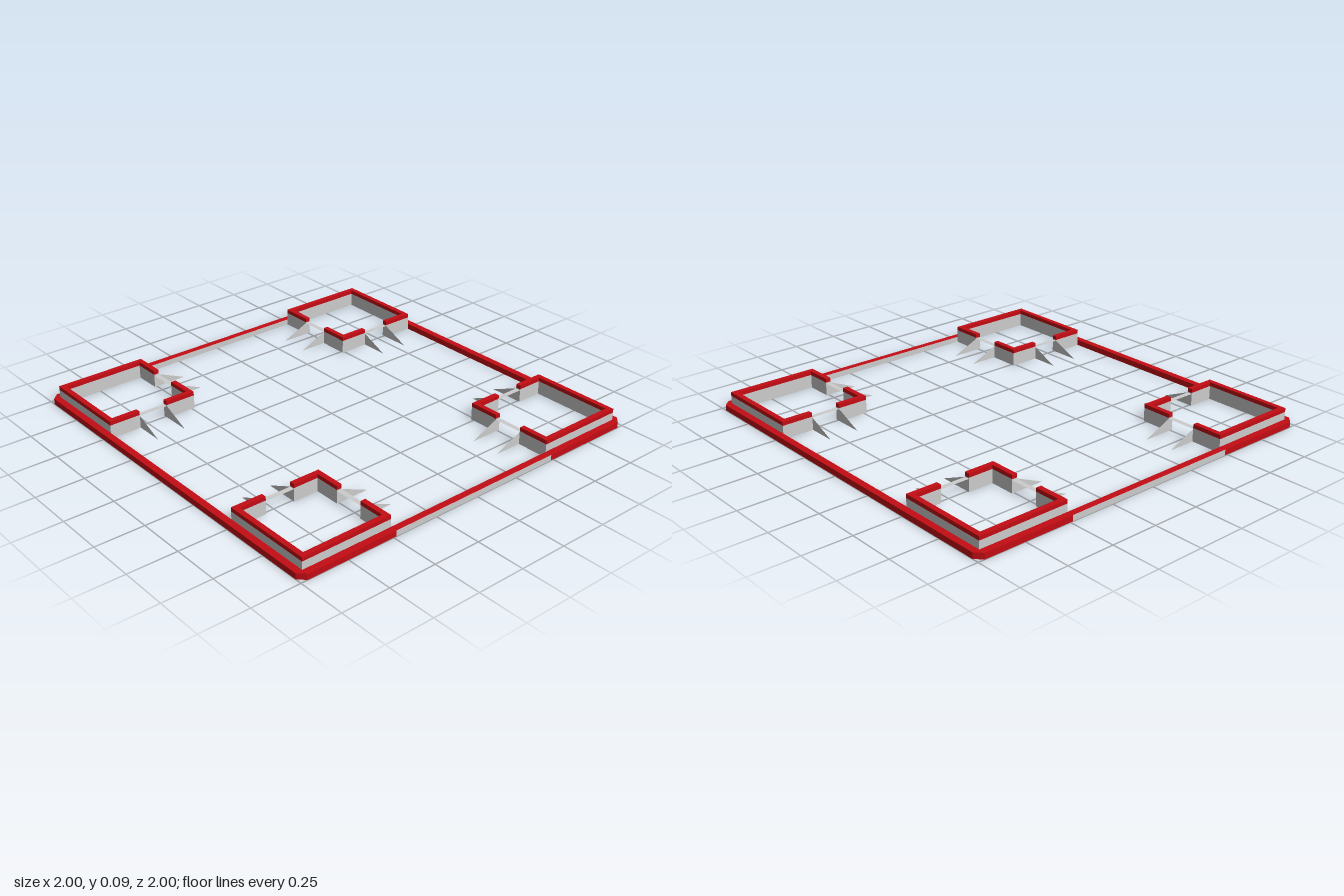
import * as THREE from 'three';

const grey = new THREE.MeshStandardMaterial({ color: 0xcccccc, flatShading: true, side: THREE.DoubleSide });
const red = new THREE.MeshStandardMaterial({ color: 0xc40c14, flatShading: true, side: THREE.DoubleSide });

// Main levels and plan dimensions
const CURB_H = 0.03, WALL_H = 0.07, RAIL_H = 0.09, LANDING_Y = 0.065;
const EDGE = 1, CUT = 0.035, INNER = 0.965;      // curb outside, corner cut, curb inside
const A = 0.485, B = 0.965, T = 0.027;           // pen extents and wall thickness
const D0 = 0.645, D1 = 0.8, RAMP = 0.15;         // doorway and ramp length

// Extrude a plan outline of [x, z] points from height y0 to y1
function slab(name, points, y0, y1, material, sx, sz) {
  const shape = new THREE.Shape(points.map(([x, z]) => new THREE.Vector2(x * sx, -z * sz)));
  const geometry = new THREE.ExtrudeGeometry(shape, { depth: y1 - y0, bevelEnabled: false });
  geometry.rotateX(-Math.PI / 2).translate(0, y0, 0);
  const mesh = new THREE.Mesh(geometry, material);
  mesh.name = name;
  return mesh;
}

const swap = (points) => points.map(([x, z]) => [z, x]);

// Pen wall outlines: the outer run between both doorways, and the inner corner
const outerRun = [
  [A, D1], [A, B], [B, B], [B, A], [D1, A], [D1, A + T],
  [B - T, A + T], [B - T, B - T], [A + T, B - T], [A + T, D1],
];
const innerCorner = [[A, A], [D0, A], [D0, A + T], [A + T, A + T], [A + T, D0], [A, D0]];

// Thin triangular cheek beside a ramp; alongX tells which way the ramp runs
function rampCheek(at, alongX, sx, sz) {
  const profile = [[A, 0], [A, LANDING_Y], [A - RAMP, 0]];
  const positions = profile.flatMap(([d, y]) => (alongX ? [d * sx, y, at * sz] : [at * sx, y, d * sz]));
  const geometry = new THREE.BufferGeometry();
  geometry.setAttribute('position', new THREE.Float32BufferAttribute(positions, 3));
  geometry.computeVertexNormals();
  const mesh = new THREE.Mesh(geometry, grey);
  mesh.name = 'rampCheek';
  return mesh;
}

// Flat landing strip across a doorway
function landing(alongX, sx, sz) {
  const wide = D1 - D0, mid = (D0 + D1) / 2, wall = A + T / 2;
  const geometry = new THREE.PlaneGeometry(alongX ? T : wide, alongX ? wide : T).rotateX(-Math.PI / 2);
  const mesh = new THREE.Mesh(geometry, grey);
  mesh.position.set((alongX ? wall : mid) * sx, LANDING_Y, (alongX ? mid : wall) * sz);
  mesh.name = 'doorwayLanding';
  return mesh;
}

function cornerPen(sx, sz) {
  const pen = new THREE.Group();
  pen.name = 'cornerPen';
  for (const outline of [outerRun, innerCorner]) {
    pen.add(slab('penWall', outline, 0, WALL_H, grey, sx, sz));
    pen.add(slab('penTopRail', outline, WALL_H, RAIL_H, red, sx, sz));
  }
  for (const alongX of [true, false]) {
    pen.add(landing(alongX, sx, sz));
    for (const at of [D0, D1]) pen.add(rampCheek(at, alongX, sx, sz));
  }
  return pen;
}

export function createModel() {
  const model = new THREE.Group();
  model.name = 'squareCurbWithCornerPens';

  // Front and back curbs wrap round the cut corners
  const endCurb = [
    [-EDGE, A], [-EDGE, EDGE - CUT], [-EDGE + CUT, EDGE], [EDGE - CUT, EDGE], [EDGE, EDGE - CUT], [EDGE, A],
    [INNER, A], [INNER, INNER], [-INNER, INNER], [-INNER, A],
  ];
  for (const s of [1, -1]) {
    model.add(slab(s > 0 ? 'frontCurb' : 'backCurb', endCurb, 0, CURB_H, red, 1, s));

    // Side curb: grey faces, red top and underside
    const side = new THREE.Mesh(
      new THREE.BoxGeometry(EDGE - INNER, CURB_H, 2 * A),
      [grey, grey, red, red, grey, grey],
    );
    side.position.set(s * (EDGE + INNER) / 2, CURB_H / 2, 0);
    side.name = s > 0 ? 'leftCurb' : 'rightCurb';
    model.add(side);
  }

  // Four mirrored corner pens
  for (const sx of [1, -1]) for (const sz of [1, -1]) model.add(cornerPen(sx, sz));
  return model;
}
